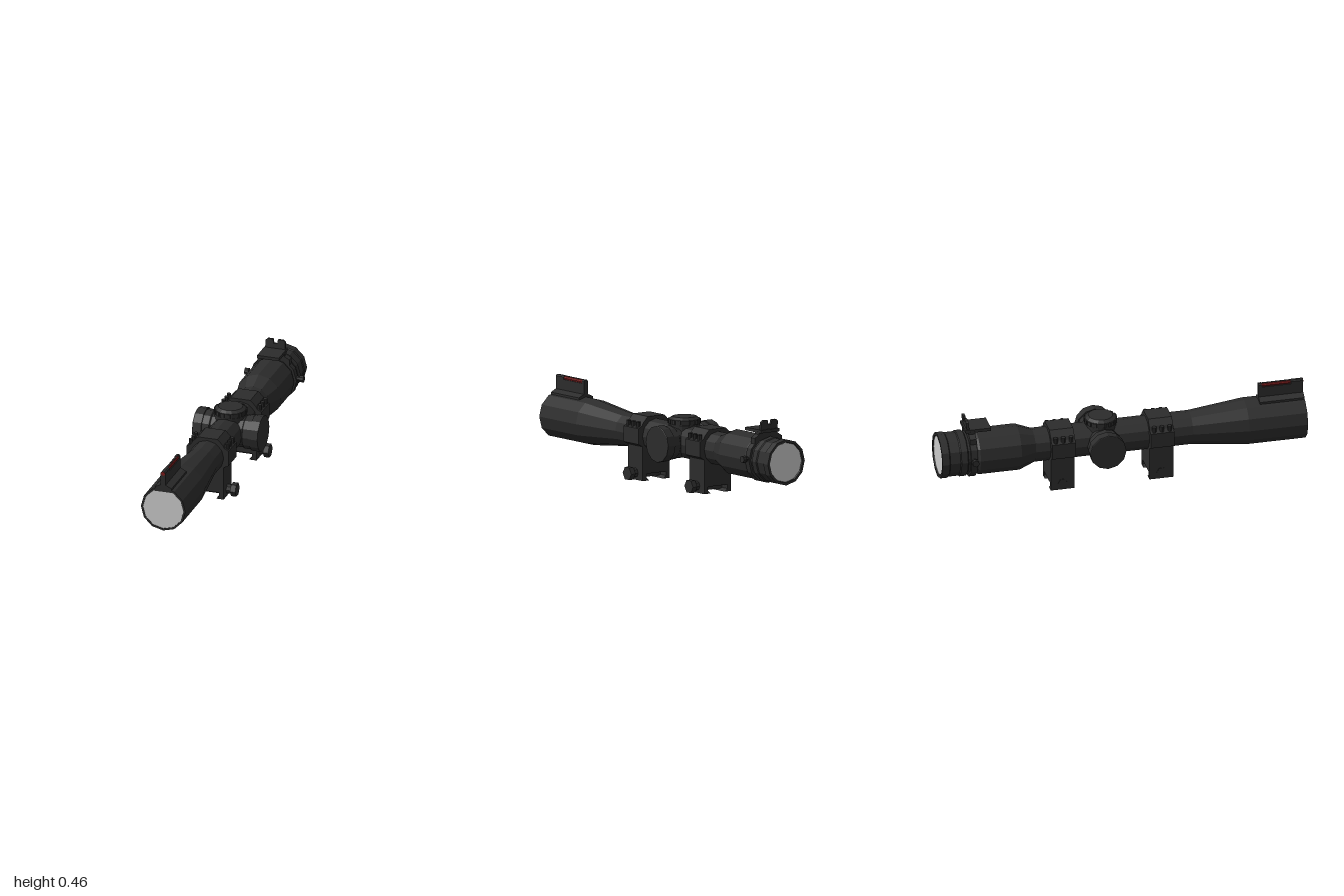
import * as THREE from 'three';

const CY = 0.24; // height of the optical axis

export function createModel() {
  const model = new THREE.Group();
  const black = new THREE.MeshStandardMaterial({ color: 0x2c2c2c });
  black.name = 'matte black';
  const glass = new THREE.MeshStandardMaterial({ color: 0xcacaca });
  glass.name = 'pale glass';
  const red = new THREE.MeshStandardMaterial({ color: 0x7a1c1c });
  red.name = 'fibre red';

  // Adds a faceted mesh
  function add(name, geo, x = 0, y = 0, z = 0, mat = black, parent = model) {
    const flat = geo.index ? geo.toNonIndexed() : geo;
    flat.computeVertexNormals();
    const mesh = new THREE.Mesh(flat, mat);
    mesh.name = name;
    mesh.position.set(x, y, z);
    parent.add(mesh);
    return mesh;
  }
  const box = (w, h, d) => new THREE.BoxGeometry(w, h, d);
  const lathe = (pts, n = 12) => new THREE.LatheGeometry(pts.map(p => new THREE.Vector2(p[0], p[1])), n);
  const cylZ = (r, l, n) => new THREE.CylinderGeometry(r, r, l, n).rotateX(Math.PI / 2);
  const cylX = (r, l, n) => new THREE.CylinderGeometry(r, r, l, n).rotateZ(Math.PI / 2);

  // Extrudes a profile along z, mirrored from its right half (bottom to top)
  function mirrored(half, depth) {
    const left = half.filter(p => p[0] > 0).map(p => [-p[0], p[1]]).reverse();
    const shape = new THREE.Shape([...half, ...left].map(p => new THREE.Vector2(p[0], p[1])));
    return new THREE.ExtrudeGeometry(shape, { depth, bevelEnabled: false }).translate(0, 0, -depth / 2);
  }

  // Main tube: eyepiece at the back, objective bell at the front
  add('scopeTube', lathe([
    [0, -0.985], [0.106, -0.985], [0.11, -1], [0.124, -1], [0.124, -0.96], [0.119, -0.955],
    [0.119, -0.9], [0.124, -0.895], [0.124, -0.86], [0.117, -0.855], [0.117, -0.8],
    [0.124, -0.79], [0.124, -0.565], [0.091, -0.48], [0.091, 0.38], [0.125, 0.68],
    [0.125, 1], [0.114, 1], [0.113, 0.99], [0, 0.99],
  ]).rotateX(Math.PI / 2), 0, CY, 0);
  add('frontLens', cylZ(0.1135, 0.008, 12), 0, CY, 0.994, glass);
  add('rearLens', cylZ(0.107, 0.008, 12), 0, CY, -0.99, glass);

  // Mounting rings with rail clamps
  for (const z of [0.205, -0.335]) {
    const mount = new THREE.Group();
    mount.name = z > 0 ? 'frontMount' : 'rearMount';
    mount.position.z = z;
    model.add(mount);
    add('ringAndClamp', mirrored([
      [0.065, 0.037], [0.065, 0.015], [0.048, 0], [0.09, 0], [0.09, 0.185], [0.118, 0.2],
      [0.118, 0.285], [0.095, 0.297], [0.085, 0.315], [0.055, 0.345],
    ], 0.13), 0, 0, 0, black, mount);
    add('recoilLug', box(0.13, 0.027, 0.035), 0, 0.025, 0, black, mount);
    add('boltShaft', cylX(0.026, 0.03, 8), 0.102, 0.038, 0, black, mount);
    add('boltHead', cylX(0.038, 0.029, 6), 0.1305, 0.038, 0, black, mount);
    add('boltNut', cylX(0.026, 0.006, 6), -0.09, 0.038, 0, black, mount);
    for (const s of [-1, 1]) for (const dz of [-0.042, 0, 0.042]) {
      add('ringScrew', new THREE.CylinderGeometry(0.012, 0.012, 0.03, 8), s * 0.102, 0.303, dz, black, mount);
    }
  }

  // Adjustment turrets
  const tz = -0.107;
  for (const s of [-1, 1]) {
    add(s > 0 ? 'leftTurret' : 'rightTurret', lathe([
      [0.088, 0], [0.088, 0.09], [0.093, 0.095], [0.093, 0.134], [0.099, 0.135],
      [0.099, 0.183], [0.096, 0.185], [0, 0.185],
    ]).rotateZ(-s * Math.PI / 2), 0, CY, tz);
  }
  add('topTurret', lathe([
    [0.085, 0.24], [0.085, 0.335], [0.084, 0.336], [0.084, 0.362], [0.066, 0.375], [0, 0.375],
  ], 16), 0, 0, tz);
  for (let i = 0; i < 16; i++) {
    const a = (i + 0.5) * Math.PI / 8;
    const rib = add('turretGrip', box(0.02, 0.023, 0.012), Math.sin(a) * 0.083, 0.35, tz + Math.cos(a) * 0.083);
    rib.rotation.y = a;
  }

  // Front sight: flared foot, fin with an open slot, red rod
  add('frontSightFoot', mirrored([[0.047, 0.34], [0.047, 0.364], [0.014, 0.38]], 0.245), 0, 0, 0.8775);
  add('frontSightFin', box(0.027, 0.075, 0.245), 0, 0.4, 0.8775);
  add('finFrontBlock', mirrored([[0.0135, 0.43], [0.0135, 0.45], [0.007, 0.457]], 0.068), 0, 0, 0.966);
  add('finRearBlock', mirrored([[0.0135, 0.43], [0.0135, 0.45], [0.007, 0.457]], 0.018), 0, 0, 0.764);
  add('finTopRail', box(0.009, 0.006, 0.245), 0, 0.454, 0.8775);
  add('redRod', cylZ(0.0115, 0.245, 8), 0, 0.445, 0.8785, red);

  // Rear sight: clamp band with side knobs, plate and notched leaf
  add('sightBand', cylZ(0.13, 0.036, 12), 0, CY, -0.825);
  add('sightSaddle', mirrored([[0.09, 0.32], [0.09, 0.358], [0.062, 0.376], [0.062, 0.39]], 0.036), 0, 0, -0.825);
  add('sightPlate', box(0.122, 0.017, 0.14), 0, 0.393, -0.79);
  const leaf = add('sightLeaf', mirrored([
    [0.055, 0], [0.055, 0.043], [0.044, 0.053], [0.014, 0.053], [0.01, 0.03],
  ], 0.014), 0, 0.398, -0.844);
  leaf.rotation.x = -0.1;
  for (const s of [-1, 1]) {
    add('sightKnobStem', cylX(0.012, 0.03, 8), s * 0.13, 0.25, -0.827);
    add('sightKnob', cylX(0.019, 0.022, 8), s * 0.154, 0.25, -0.827);
  }
  return model;
}
